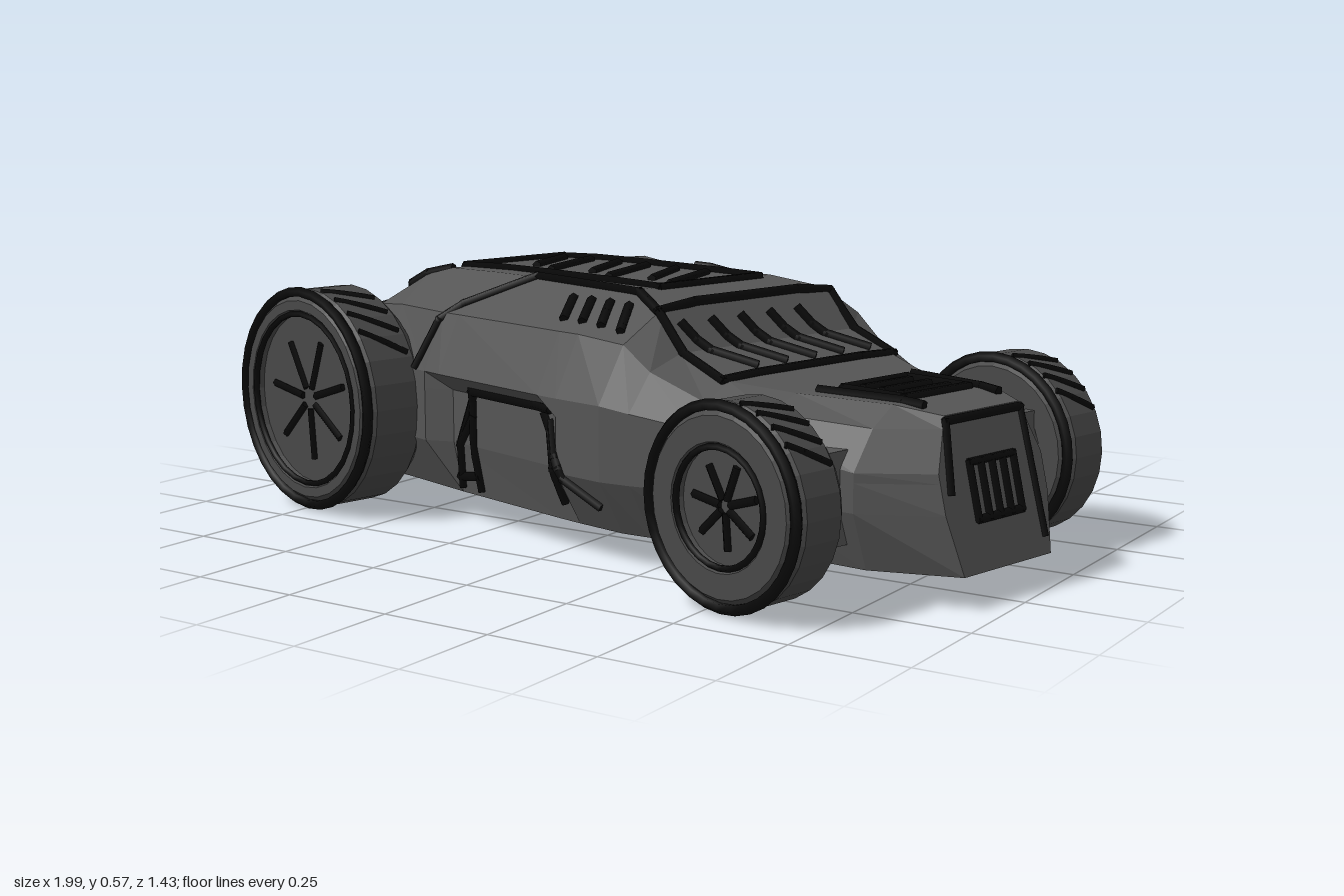
import * as THREE from 'three';
import { mergeGeometries } from 'three/addons/utils/BufferGeometryUtils.js';

const paint = new THREE.MeshStandardMaterial({ color: 0x555555, flatShading: true });
const tyreMat = new THREE.MeshStandardMaterial({ color: 0x484848, flatShading: true });
const ink = new THREE.MeshStandardMaterial({ color: 0x080808 });
const lerp = THREE.MathUtils.lerp;

// Hull stations: x, half widths of belt, shoulder, roof, then their heights,
// and the depth of the side recess where there is one
const stations = [
  [-0.95, 0.29, 0.22, 0.12, 0.25, 0.28, 0.30],
  [-0.88, 0.35, 0.29, 0.17, 0.34, 0.40, 0.43],
  [-0.63, 0.40, 0.33, 0.19, 0.36, 0.48, 0.54],
  [-0.52, 0.41, 0.35, 0.20, 0.36, 0.49, 0.565],
  [-0.34, 0.425, 0.37, 0.21, 0.36, 0.49, 0.57],
  [-0.28, 0.43, 0.37, 0.21, 0.36, 0.49, 0.57, 0.04],
  [0.08, 0.445, 0.38, 0.21, 0.36, 0.49, 0.57, 0.04],
  [0.14, 0.445, 0.38, 0.21, 0.36, 0.49, 0.57],
  [0.27, 0.44, 0.37, 0.25, 0.36, 0.48, 0.55],
  [0.34, 0.42, 0.36, 0.27, 0.35, 0.43, 0.46],
  [0.47, 0.37, 0.33, 0.26, 0.33, 0.38, 0.415],
  [0.60, 0.31, 0.28, 0.20, 0.31, 0.37, 0.40],
  [0.82, 0.275, 0.22, 0.16, 0.28, 0.36, 0.40],
  [0.99, 0.165, 0.13, 0.12, 0.28, 0.36, 0.385],
].map(([x, belt, shoulder, roof, yBelt, yShoulder, yRoof, inset = 0]) => {
  // below the belt come a lip, which closes the recess, the sill and the bottom
  const ySill = Math.min(0.2, yBelt - 0.08);
  return [
    x,
    [belt * 0.85, belt - inset, belt - inset, belt, shoulder, roof],
    [0.08, ySill, lerp(ySill, yBelt, 0.75), yBelt, yShoulder, yRoof],
  ];
});
const LEVELS = 6, ROOF = LEVELS - 1;
const NOSE_SLOPE = 0.25; // the nose leans back with height
const TAIL_SLOPE = 0.2; // the tail tucks in towards the bottom

// Loft the hull through its stations and cap both ends
function hullGeometry() {
  const rings = stations.map(([x, w, y], i) => {
    const lean = i === stations.length - 1 ? NOSE_SLOPE : 0;
    const tuck = i === 0 ? TAIL_SLOPE : 0;
    const half = w.map((hw, k) => [x - lean * (y[k] - 0.08) + tuck * (y[ROOF] - y[k]), y[k], hw]);
    return [...half, ...half.slice().reverse().map(([a, b, c]) => [a, b, -c])];
  });
  const n = LEVELS * 2, pos = [];
  const tri = (...p) => p.forEach((v) => pos.push(...v));
  for (let i = 0; i < rings.length - 1; i++) {
    for (let j = 0; j < n; j++) {
      const k = (j + 1) % n, A = rings[i], B = rings[i + 1];
      tri(A[j], B[j], A[k]);
      tri(A[k], B[j], B[k]);
    }
  }
  const back = rings[0], front = rings[rings.length - 1];
  for (let j = 1; j < n - 1; j++) {
    tri(back[0], back[j], back[j + 1]);
    tri(front[0], front[j + 1], front[j]);
  }
  const g = new THREE.BufferGeometry();
  g.setAttribute('position', new THREE.Float32BufferAttribute(pos, 3));
  g.computeVertexNormals();
  return g;
}

// Hull section at x, used to lay the drawn lines on the surface
function sectionAt(x) {
  let i = 0;
  while (i < stations.length - 2 && stations[i + 1][0] < x) i++;
  const [x0, w0, y0] = stations[i], [x1, w1, y1] = stations[i + 1];
  const t = THREE.MathUtils.clamp((x - x0) / (x1 - x0), 0, 1);
  return { w: w0.map((v, k) => lerp(v, w1[k], t)), y: y0.map((v, k) => lerp(v, y1[k], t)) };
}
function onTop(x, z) {
  const { w, y } = sectionAt(x), a = Math.abs(z);
  let h = y[ROOF];
  if (a > w[ROOF]) {
    const k = a > w[ROOF - 1] ? ROOF - 2 : ROOF - 1;
    const t = (a - w[k + 1]) / Math.max(w[k] - w[k + 1], 1e-4);
    h = lerp(y[k + 1], y[k], Math.min(t, 1));
  }
  return new THREE.Vector3(x, h + 0.003, z);
}
function onSide(x, h) {
  const { w, y } = sectionAt(x);
  let k = 0;
  while (k < LEVELS - 2 && y[k + 1] < h) k++;
  return new THREE.Vector3(x, h, lerp(w[k], w[k + 1], (h - y[k]) / (y[k + 1] - y[k])) + 0.003);
}
const onNose = (h, z) => new THREE.Vector3(0.991 - NOSE_SLOPE * (h - 0.08), h, z);

// One drawn line: short rods between points mapped onto a surface
function stroke(points, place, r = 0.011) {
  const path = [], steps = 5;
  for (let i = 0; i < points.length - 1; i++) {
    for (let s = i ? 1 : 0; s <= steps; s++) {
      const t = s / steps;
      path.push(place(lerp(points[i][0], points[i + 1][0], t), lerp(points[i][1], points[i + 1][1], t)));
    }
  }
  const rods = [];
  for (let i = 0; i < path.length - 1; i++) {
    const d = path[i + 1].clone().sub(path[i]), len = d.length();
    const q = new THREE.Quaternion().setFromUnitVectors(new THREE.Vector3(0, 1, 0), d.normalize());
    const mid = path[i].clone().add(path[i + 1]).multiplyScalar(0.5);
    rods.push(new THREE.CylinderGeometry(r, r, len + r, 5).applyQuaternion(q).translate(mid.x, mid.y, mid.z));
  }
  return mergeGeometries(rods);
}
const box = (a, b, c, d) => [[a, c], [b, c], [b, d], [a, d], [a, c]];

function add(parent, name, geometry, material) {
  const m = new THREE.Mesh(geometry, material);
  m.name = name;
  parent.add(m);
  return m;
}

// Wheel with chamfered tyre and sunken rims, axle along z
function wheel(name, r, width, rim, near) {
  const g = new THREE.Group(), h = width / 2;
  g.name = name;
  const profile = [[0, -h + 0.025], [rim, -h + 0.025], [rim + 0.01, -h], [r - 0.025, -h], [r, -h + 0.03],
    [r, h - 0.03], [r - 0.025, h], [rim + 0.01, h], [rim, h - 0.025], [0, h - 0.025]];
  const tyre = new THREE.LatheGeometry(profile.map((p) => new THREE.Vector2(...p)), 28).rotateX(Math.PI / 2);
  add(g, 'tyre', tyre, tyreMat);
  // Drawn outline, tread dashes and, on the near side, spokes
  const lines = [new THREE.TorusGeometry(r - 0.006, 0.012, 5, 32).translate(0, 0, h - 0.008)];
  const tread = (a, z) => new THREE.Vector3(r * Math.cos(a), r * Math.sin(a), z);
  for (let i = 0; i < 4; i++) {
    lines.push(stroke([[0.5 + i * 0.22, -h * 0.5], [0.75 + i * 0.22, h * 0.6]], tread, 0.007));
  }
  if (near) {
    const face = (x, y) => new THREE.Vector3(x, y, h - 0.022);
    lines.push(new THREE.TorusGeometry(rim, 0.007, 5, 28).translate(0, 0, h - 0.004));
    for (let i = 0; i < 7; i++) {
      const a = i * 0.9 + 0.3, c = Math.cos(a), s = Math.sin(a);
      lines.push(stroke([[rim * 0.15 * c, rim * 0.15 * s], [rim * 0.7 * c, rim * 0.7 * s]], face, 0.009));
    }
  }
  add(g, 'wheelLines', mergeGeometries(lines), ink);
  return g;
}

export function createModel() {
  const root = new THREE.Group(), car = new THREE.Group();
  root.name = 'car';
  car.name = 'carBody';
  car.rotation.y = -THREE.MathUtils.degToRad(13);
  car.position.set(-0.0045, 0, 0.0195);
  root.add(car);
  add(car, 'hull', hullGeometry(), paint);

  // Wheels and axle fairings
  for (const side of [1, -1]) {
    const label = side > 0 ? 'Right' : 'Left';
    const rear = wheel('rear' + label + 'Wheel', 0.257, 0.18, 0.2, side > 0);
    rear.position.set(-0.63, 0.275, side * 0.474);
    const front = wheel('front' + label + 'Wheel', 0.204, 0.155, 0.118, side > 0);
    front.position.set(0.677, 0.224, side * 0.425);
    car.add(rear, front);
    add(car, 'frontAxleFairing', new THREE.BoxGeometry(0.22, 0.19, 0.14), paint).position.set(0.68, 0.225, side * 0.3);
    add(car, 'rearAxleFairing', new THREE.BoxGeometry(0.24, 0.18, 0.1), paint).position.set(-0.63, 0.26, side * 0.37);
  }

  // Lines on the upper surfaces: roof, windscreen, bonnet, shoulders, tail
  const top = [
    box(-0.53, 0.15, -0.16, 0.15), box(0.27, 0.46, -0.27, 0.27), box(0.64, 0.8, -0.1, 0.1),
    [[-0.38, 0.42], [-0.19, 0.21], [0.16, 0.22], [0.27, 0.27]],
    [[-0.09, -0.2], [0.05, -0.28], [0.26, -0.28]],
    [[-0.9, -0.28], [-0.92, 0.02], [-0.9, 0.27]],
    [[-0.88, -0.3], [-0.62, -0.32], [-0.5, -0.34]],
    [[-0.86, -0.25], [-0.7, -0.18]], [[-0.84, -0.16], [-0.72, -0.05]],
    [[-0.8, -0.2], [-0.7, -0.1]], [[-0.9, 0.2], [-0.76, 0.02], [-0.7, 0.14]],
    [[-0.88, 0.06], [-0.68, 0.2], [-0.56, 0.17]],
    [[0.62, 0.15], [0.86, 0.12]], [[0.62, -0.15], [0.86, -0.12]],
  ];
  for (let i = 0; i < 6; i++) top.push([[-0.47 + i * 0.1, -0.11], [-0.37 + i * 0.1, 0.06 + 0.04 * (i % 2)]]);
  for (let i = 0; i < 5; i++) top.push([[0.3, -0.13 + i * 0.09], [0.43, -0.22 + i * 0.09]]);
  for (let i = 0; i < 4; i++) top.push([[0.0 + i * 0.06, 0.27], [0.05 + i * 0.06, 0.34]]);
  for (let i = 0; i < 3; i++) top.push([[0.67 + i * 0.05, -0.07], [0.67 + i * 0.05, 0.07]]);

  // Lines along the near flank and on the nose
  const flank = [
    [[-0.27, 0.1], [-0.25, 0.2], [-0.19, 0.33], [0.1, 0.33]], [[-0.2, 0.1], [-0.2, 0.3]],
    [[-0.27, 0.12], [-0.2, 0.13]], [[-0.25, 0.2], [-0.2, 0.27]],
    [[0.06, 0.31], [0.11, 0.22], [0.12, 0.13]], [[0.1, 0.3], [0.16, 0.19], [0.24, 0.14]],
  ];
  const nose = [[[0.24, 0.14], [0.375, 0.12], [0.375, -0.12], [0.12, -0.13]], box(0.18, 0.29, -0.07, 0.07)];
  for (let i = 0; i < 3; i++) nose.push([[0.18, -0.035 + i * 0.035], [0.29, -0.035 + i * 0.035]]);

  add(car, 'upperLines', mergeGeometries(top.map((p) => stroke(p, onTop))), ink);
  add(car, 'flankLines', mergeGeometries(flank.map((p) => stroke(p, onSide))), ink);
  add(car, 'noseLines', mergeGeometries(nose.map((p) => stroke(p, onNose, 0.009))), ink);
  return root;
}
